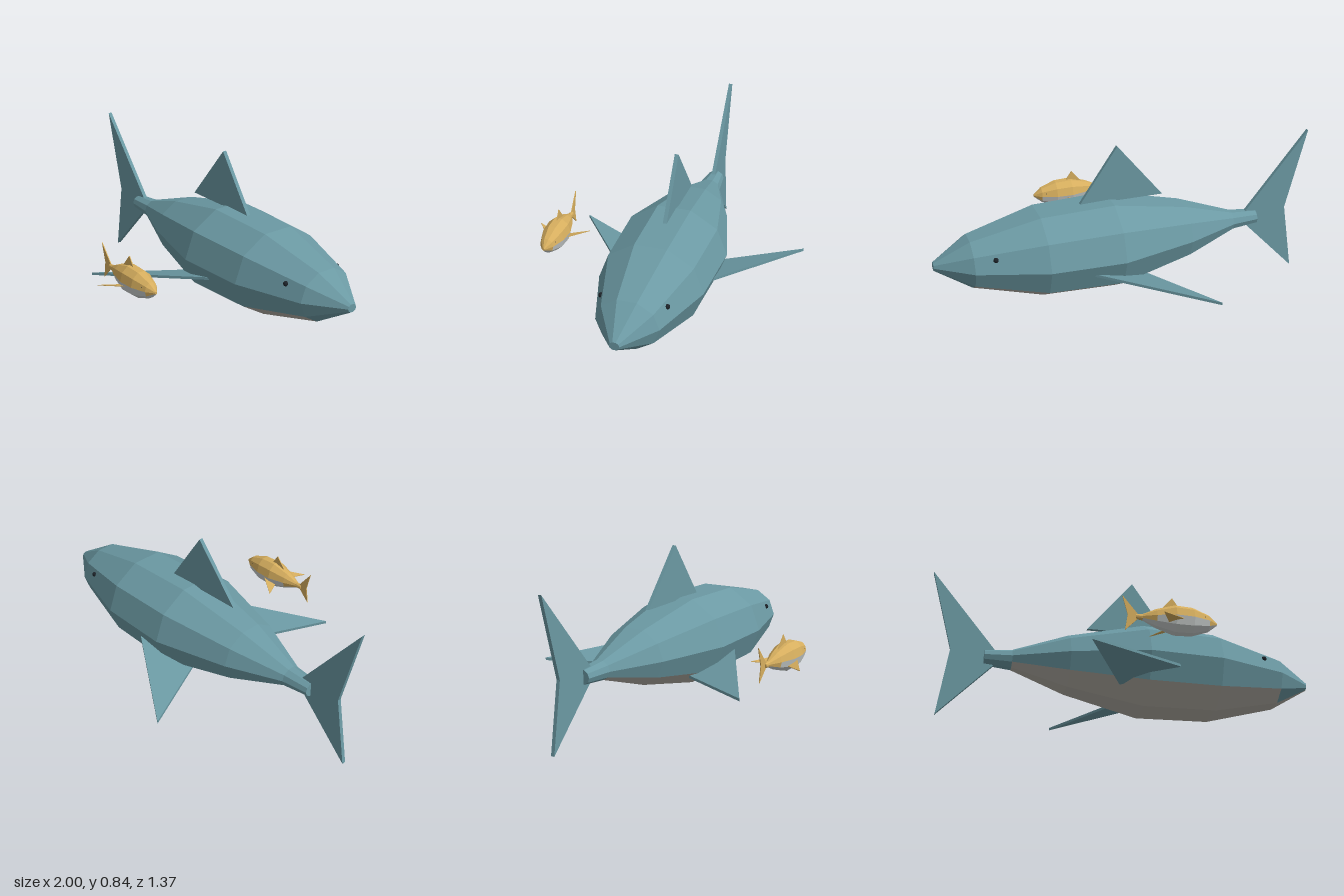
import * as THREE from 'three';
import { ConvexGeometry } from 'three/addons/geometries/ConvexGeometry.js';

const SIDES = 10;
// Body stations along x: [x, relative radius]
const STATIONS = [[-0.72, 0.16], [-0.58, 0.215], [-0.3, 0.63], [0.09, 1], [0.47, 0.95], [0.82, 0.56], [1, 0.09]];

function material(name, color) {
  const m = new THREE.MeshStandardMaterial({ color, flatShading: true });
  m.name = name;
  return m;
}

function addMesh(group, name, geometry, mat) {
  const mesh = new THREE.Mesh(geometry, mat);
  mesh.name = name;
  group.add(mesh);
  return mesh;
}

function facesGeometry(points) {
  const g = new THREE.BufferGeometry().setFromPoints(points);
  g.computeVertexNormals();
  return g;
}

// Ten-sided hull; faces lying low enough go to the belly
function addBody(group, rz, ry, bellyLevel, backMat, bellyMat) {
  const back = [], belly = [];
  const point = (i, j) => {
    const a = (j / SIDES) * Math.PI * 2;
    const [x, r] = STATIONS[i];
    return new THREE.Vector3(x, Math.sin(a) * ry * r, Math.cos(a) * rz * r);
  };
  const last = STATIONS.length - 1;
  for (let j = 0; j < SIDES; j++) {
    for (let i = 0; i < last; i++) {
      const a = point(i, j), b = point(i + 1, j), c = point(i + 1, j + 1), d = point(i, j + 1);
      const mid = (a.y + b.y + c.y + d.y) / 4;
      (mid < -bellyLevel * ry ? belly : back).push(a, b, c, a, c, d);
    }
    // Nose and tail caps
    back.push(new THREE.Vector3(STATIONS[last][0], 0, 0), point(last, j + 1), point(last, j));
    back.push(new THREE.Vector3(STATIONS[0][0], 0, 0), point(0, j), point(0, j + 1));
  }
  addMesh(group, 'back', facesGeometry(back), backMat);
  addMesh(group, 'belly', facesGeometry(belly), bellyMat);
}

// Upright flat fin from an outline in x and y
function uprightFin(outline) {
  const shape = new THREE.Shape(outline.map(([x, y]) => new THREE.Vector2(x, y)));
  return new THREE.ExtrudeGeometry(shape, { depth: 0.02, bevelEnabled: false }).translate(0, 0, -0.01);
}

// Swept side fin, tilted with the leading edge higher
function sideFin(side) {
  const corners = [[0.3, -0.05, 0.215], [-0.05, -0.145, 0.16], [-0.28, -0.122, 0.605]];
  const points = [];
  for (const [x, y, z] of corners) {
    for (const t of [-0.007, 0.007]) points.push(new THREE.Vector3(x, y + t, z * side));
  }
  return new ConvexGeometry(points);
}

function createFish(name, { rz, ry, bellyLevel, backMat, bellyMat, eyeMat }) {
  const fish = new THREE.Group();
  fish.name = name;
  addBody(fish, rz, ry, bellyLevel, backMat, bellyMat);
  addMesh(fish, 'dorsalFin', uprightFin([[-0.19, 0.215], [0.25, 0.215], [0.05, 0.507]]), backMat);
  addMesh(fish, 'tailFin', uprightFin([[-0.63, 0], [-1, 0.455], [-0.89, 0.03], [-0.945, -0.328]]), backMat);
  for (const side of [1, -1]) {
    const label = side > 0 ? 'Left' : 'Right';
    addMesh(fish, 'sideFin' + label, sideFin(side), backMat);
    const eye = addMesh(fish, 'eye' + label, new THREE.SphereGeometry(0.013, 8, 6), eyeMat);
    eye.position.set(0.72, 0.067, 0.163 * side);
  }
  return fish;
}

export function createModel() {
  const teal = material('teal skin', 0x6b99a3);
  const grey = material('warm grey belly', 0xb2aea5);
  const gold = material('gold skin', 0xd6ae5e);
  const silver = material('silver belly', 0xc8cdcc);
  const dark = material('dark eye', 0x1c2228);

  const model = new THREE.Group();
  model.name = 'twoFish';

  const big = createFish('largeFish', {
    rz: 0.28, ry: 0.237, bellyLevel: 0.295, backMat: teal, bellyMat: grey, eyeMat: dark,
  });
  big.position.set(0, 0.335, -0.08);

  const small = createFish('smallFish', {
    rz: 0.28, ry: 0.322, bellyLevel: 0.2, backMat: gold, bellyMat: silver, eyeMat: dark,
  });
  small.scale.setScalar(0.23);
  small.position.set(0.09, 0.335, 0.543);

  model.add(big, small);
  return model;
}
